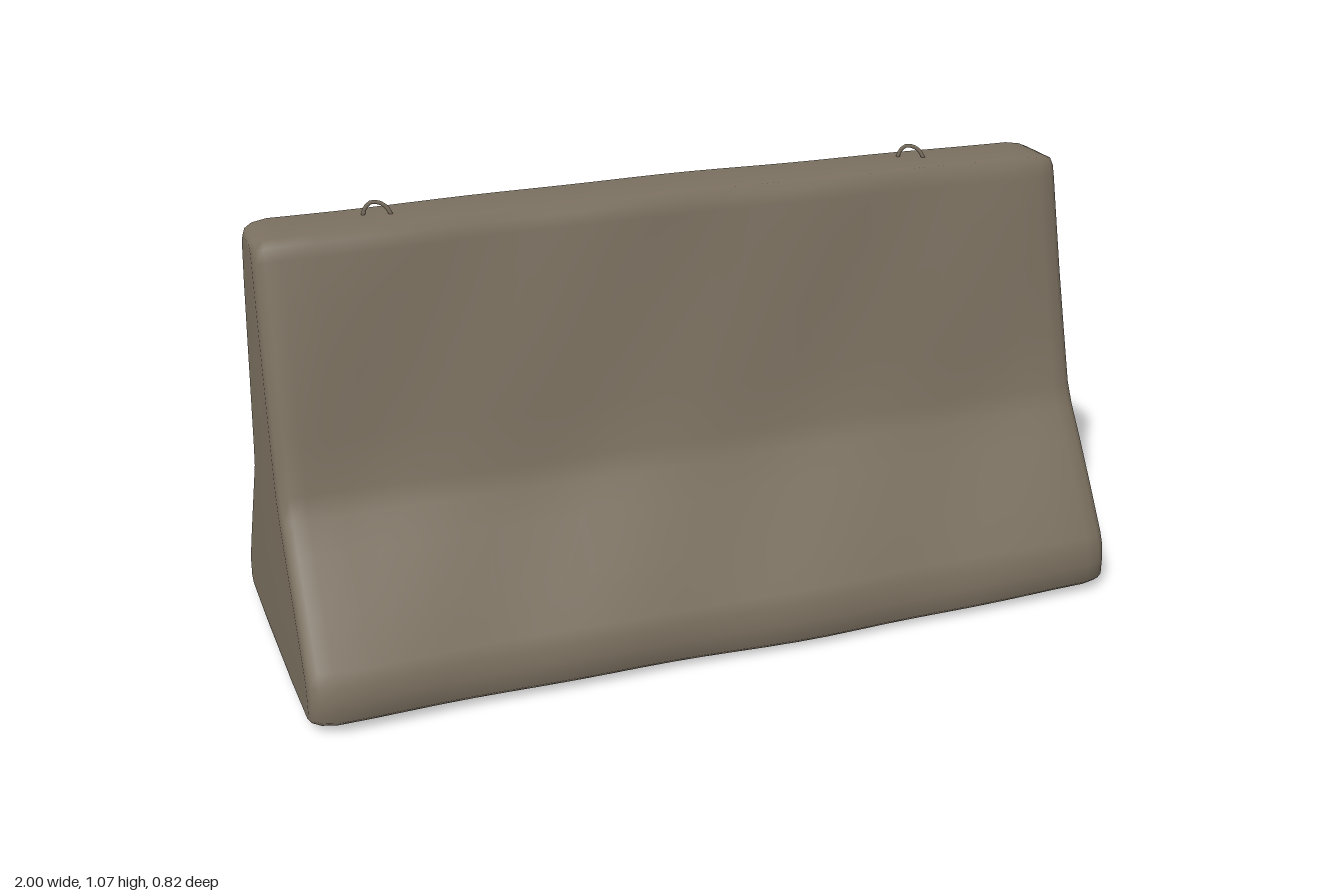
import * as THREE from 'three';

const concrete = new THREE.MeshStandardMaterial({ color: 0x7b7060 });
concrete.name = 'weathered concrete';

// Cross-section rows: height, front z, back z
const rows = [
  [0.008, 0.2, -0.2], [0.016, 0.385, -0.385], [0.03, 0.402, -0.402], [0.075, 0.402, -0.4],
  [0.12, 0.396, -0.385], [0.15, 0.382, -0.368], [0.25, 0.318, -0.305], [0.36, 0.246, -0.235],
  [0.43, 0.2, -0.192], [0.48, 0.177, -0.182], [0.6, 0.15, -0.169], [0.75, 0.119, -0.154],
  [0.9, 0.087, -0.138], [0.99, 0.068, -0.128], [1.02, 0.06, -0.122], [1.036, 0.045, -0.108],
];

// Stations along the length: x and how far the section shrinks at rounded ends
const stations = [[-1, 0.04], [-0.993, 0.022], [-0.975, 0.008], [-0.94, 0]];
for (let i = 1; i < 24; i++) stations.push([-0.94 + (1.88 * i) / 24, 0]);
stations.push([0.94, 0], [0.975, 0.008], [0.993, 0.022], [1, 0.04]);

// Gentle worn unevenness of the cast faces
const wear = (x, y, s) =>
  0.004 * Math.sin(5.3 * x + 6 * y + s) + 0.003 * Math.sin(11.7 * x - 9 * y + 2 * s);

function barrierGeometry() {
  const n = rows.length, m = 2 * n, pos = [], idx = [];
  for (const [x, inset] of stations) {
    for (let i = 0; i < m; i++) {
      const front = i < n;
      const [y0, zf, zb] = rows[front ? i : m - 1 - i];
      const side = front ? 1 : -1;
      const z = (front ? zf : zb) - side * inset + side * wear(x, y0, front ? 0 : 2);
      let y = y0;
      if (y0 > 0.9) y += 0.008 * (1 - x * x) - inset * 0.5 * (y0 - 0.9) / 0.136;
      if (y0 < 0.1) y += 0.009 * Math.min(1, Math.abs(x - 0.25)) + inset * 0.15;
      // End faces lean in slightly toward the top
      const lean = Math.abs(x) > 0.9 ? Math.sign(x) * (x > 0 ? 0.014 : 0.006) * y0 * y0 : 0;
      pos.push(x - lean, y, z);
    }
  }
  const quad = (a, b, c, d) => idx.push(a, b, c, a, c, d);
  for (let j = 0; j < stations.length - 1; j++) {
    for (let i = 0; i < m; i++) {
      const k = (i + 1) % m, p = j * m, q = p + m;
      quad(p + i, q + i, q + k, p + k);
    }
  }
  // Flat ends, bridged row by row
  const last = (stations.length - 1) * m;
  for (let r = 0; r < n - 1; r++) {
    const f = r, b = m - 1 - r;
    quad(last + f, last + b, last + b - 1, last + f + 1);
    quad(f, f + 1, b - 1, b);
  }
  const g = new THREE.BufferGeometry();
  g.setAttribute('position', new THREE.Float32BufferAttribute(pos, 3));
  g.setIndex(idx);
  g.computeVertexNormals();
  return g;
}

// Bent bar lifting loop standing on the top face
function liftingLoop(x, z, turn) {
  const pts = [[-0.032, -0.02], [-0.027, 0.012], [-0.012, 0.029], [0.012, 0.026], [0.03, 0.006], [0.034, -0.02]]
    .map(([a, b]) => new THREE.Vector3(a, b, 0));
  const loop = new THREE.Mesh(
    new THREE.TubeGeometry(new THREE.CatmullRomCurve3(pts), 12, 0.005, 5), concrete);
  loop.position.set(x, 1.039, z);
  loop.rotation.y = turn;
  loop.name = 'liftingLoop';
  return loop;
}

export function createModel() {
  const group = new THREE.Group();
  group.name = 'concreteBarrier';
  const body = new THREE.Mesh(barrierGeometry(), concrete);
  body.name = 'barrierBody';
  group.add(body, liftingLoop(-0.7, -0.043, -0.25), liftingLoop(0.63, -0.056, -0.45));
  return group;
}
